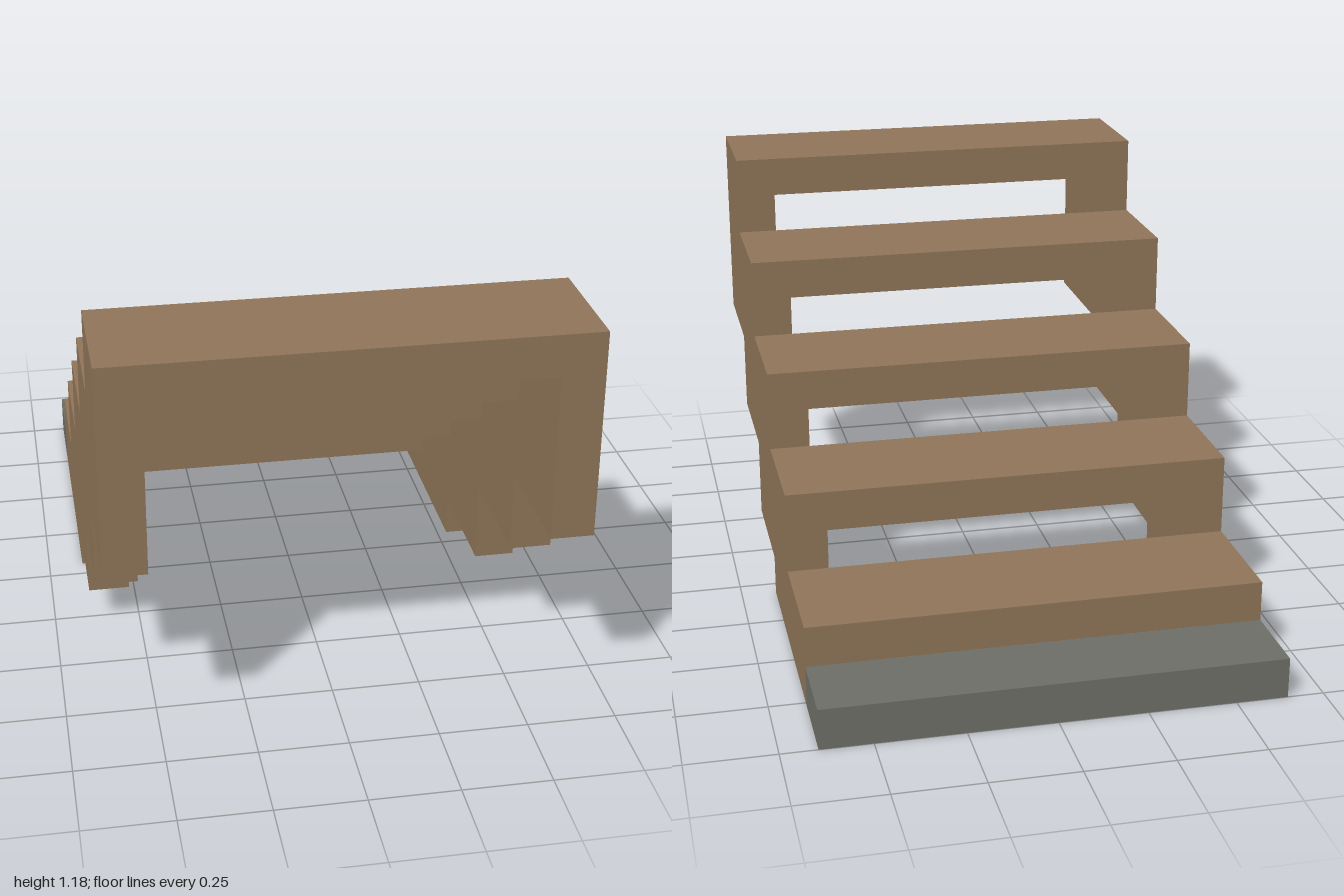
import * as THREE from 'three';

const RUN = 0.353, RISE = 0.2353, THICK = 0.1176, STEPS = 5;
const HALF_W = 0.647, BACK = -0.765;

export function createModel() {
  const group = new THREE.Group();
  group.name = 'stairs';
  const wood = new THREE.MeshStandardMaterial({ color: 0x8e7458 });
  wood.name = 'brown wood';
  const stone = new THREE.MeshStandardMaterial({ color: 0x6c6e66 });
  stone.name = 'grey stone';

  const box = (name, mat, w, h, d, x, y, z) => {
    const mesh = new THREE.Mesh(new THREE.BoxGeometry(w, h, d), mat);
    mesh.name = name;
    mesh.position.set(x, y, z);
    group.add(mesh);
  };

  // stepped stringer profile, drawn with shape x = -z
  const z = (i) => BACK + i * RUN;
  const bottom = (i) => Math.max(0, (i + 1) * RISE - 5 * THICK);
  const profile = new THREE.Shape();
  profile.moveTo(-z(0), 0);
  for (let i = 0; i < STEPS; i++) {
    profile.lineTo(-z(i), (i + 1) * RISE);
    profile.lineTo(-z(i + 1), (i + 1) * RISE);
  }
  for (let i = STEPS - 1; i >= 2; i--) {
    profile.lineTo(-z(i + 1), bottom(i));
    profile.lineTo(-z(i), bottom(i));
  }
  profile.lineTo(-z(2), 0);
  profile.closePath();

  const stringer = new THREE.ExtrudeGeometry(profile, { depth: THICK, bevelEnabled: false });
  stringer.rotateY(Math.PI / 2);
  for (const [name, x] of [['leftStringer', HALF_W - THICK], ['rightStringer', -HALF_W]]) {
    const mesh = new THREE.Mesh(stringer, wood);
    mesh.name = name;
    mesh.position.x = x;
    group.add(mesh);
  }

  // treads between the stringers, with open risers
  for (let i = 0; i < STEPS; i++) {
    box('tread' + (i + 1), wood, 2 * (HALF_W - THICK), THICK, RUN,
      0, (i + 1) * RISE - THICK / 2, z(i) + RUN / 2);
  }

  // low slab at the foot of the stairs
  box('footSlab', stone, 2 * HALF_W, THICK, 1 + BACK, 0, THICK / 2, (BACK - 1) / 2);
  return group;
}
